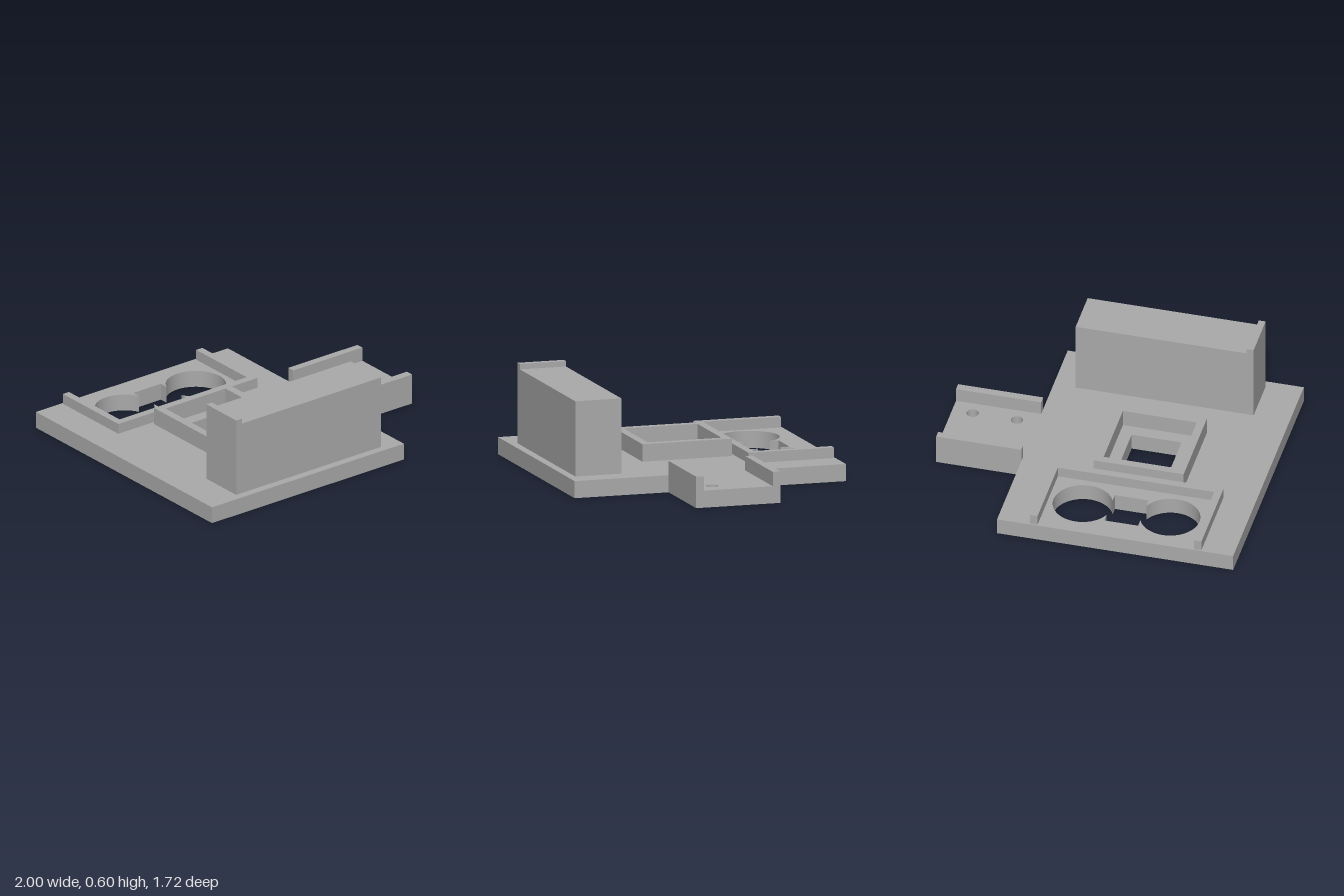
import * as THREE from 'three';
import { toCreasedNormals } from 'three/addons/utils/BufferGeometryUtils.js';

const PLATE = 0.105; // plate thickness

// Closed polygon from [x, z] points; shape y is -z so that extrusion goes up
const outline = (pts, Type = THREE.Shape) => new Type(pts.map(([x, z]) => new THREE.Vector2(x, -z)));
const rect = (x0, x1, z0, z1) => [[x0, z1], [x1, z1], [x1, z0], [x0, z0]];

function roundHole(x, z, r) {
  const p = new THREE.Path();
  p.absarc(x, -z, r, 0, Math.PI * 2, false);
  return p;
}

// Two round pockets joined by a rectangular bridge
function twinHole() {
  const z = -0.583, r = 0.182, c0 = -0.537, c1 = 0.007, x0 = -0.37, x1 = -0.16, h = 0.129;
  const a = Math.acos((x0 - c0) / r), b = Math.acos((c1 - x1) / r);
  const p = new THREE.Path();
  p.absarc(c0, -z, r, a, Math.PI * 2 - a, false);
  p.lineTo(x0, -z - h);
  p.lineTo(x1, -z - h);
  p.absarc(c1, -z, r, Math.PI + b, Math.PI * 3 - b, false);
  p.lineTo(x1, -z + h);
  p.lineTo(x0, -z + h);
  p.closePath();
  return p;
}

export function createModel() {
  const model = new THREE.Group();
  const grey = new THREE.MeshStandardMaterial({ color: 0xaaaaaa });
  grey.name = 'grey';

  const add = (name, geometry) => {
    const mesh = new THREE.Mesh(geometry, grey);
    mesh.name = name;
    model.add(mesh);
  };
  // Extrudes a floor-plan shape from y0 to y1
  const raise = (name, shape, y0, y1) => {
    const g = new THREE.ExtrudeGeometry(shape, { depth: y1 - y0, bevelEnabled: false, curveSegments: 32 });
    g.rotateX(-Math.PI / 2).translate(0, y0, 0);
    add(name, toCreasedNormals(g, 0.6));
  };

  // Base plate with side tab and all through holes
  const plate = outline([
    [-1, 0.862], [0.47, 0.862], [0.47, 0.265], [1, 0.265],
    [1, -0.27], [0.47, -0.27], [0.47, -0.862], [-1, -0.862],
  ]);
  plate.holes.push(
    twinHole(),
    outline(rect(-0.42, -0.11, -0.16, 0.15), THREE.Path),
    roundHole(0.597, 0.12, 0.037),
    roundHole(0.872, 0.12, 0.037),
  );
  raise('basePlate', plate, 0, PLATE);

  // Rails along the tab
  raise('tabRailBack', outline(rect(0.47, 1, -0.27, -0.222)), PLATE, 0.193);
  raise('tabRailFront', outline(rect(0.47, 1, 0.214, 0.265)), PLATE, 0.193);

  // Square collar around the middle opening
  const collar = outline(rect(-0.545, 0.015, -0.287, 0.28));
  collar.holes.push(outline(rect(-0.495, -0.035, -0.238, 0.23), THREE.Path));
  raise('squareCollar', collar, PLATE, 0.212);

  // U-shaped wall around the twin pockets, open to the back
  raise('pocketWall', outline([
    [-0.8, -0.31], [0.267, -0.31], [0.267, -0.853], [0.22, -0.853],
    [0.22, -0.358], [-0.753, -0.358], [-0.753, -0.853], [-0.8, -0.853],
  ]), PLATE, 0.17);

  // Tall block with a raised lip at one end
  const side = new THREE.Shape([
    [-0.775, PLATE], [0.333, PLATE], [0.333, 0.567],
    [-0.732, 0.567], [-0.732, 0.6], [-0.775, 0.6],
  ].map(([x, y]) => new THREE.Vector2(x, y)));
  const block = new THREE.ExtrudeGeometry(side, { depth: 0.293, bevelEnabled: false });
  add('tallBlock', block.translate(0, 0, 0.519));

  return model;
}
